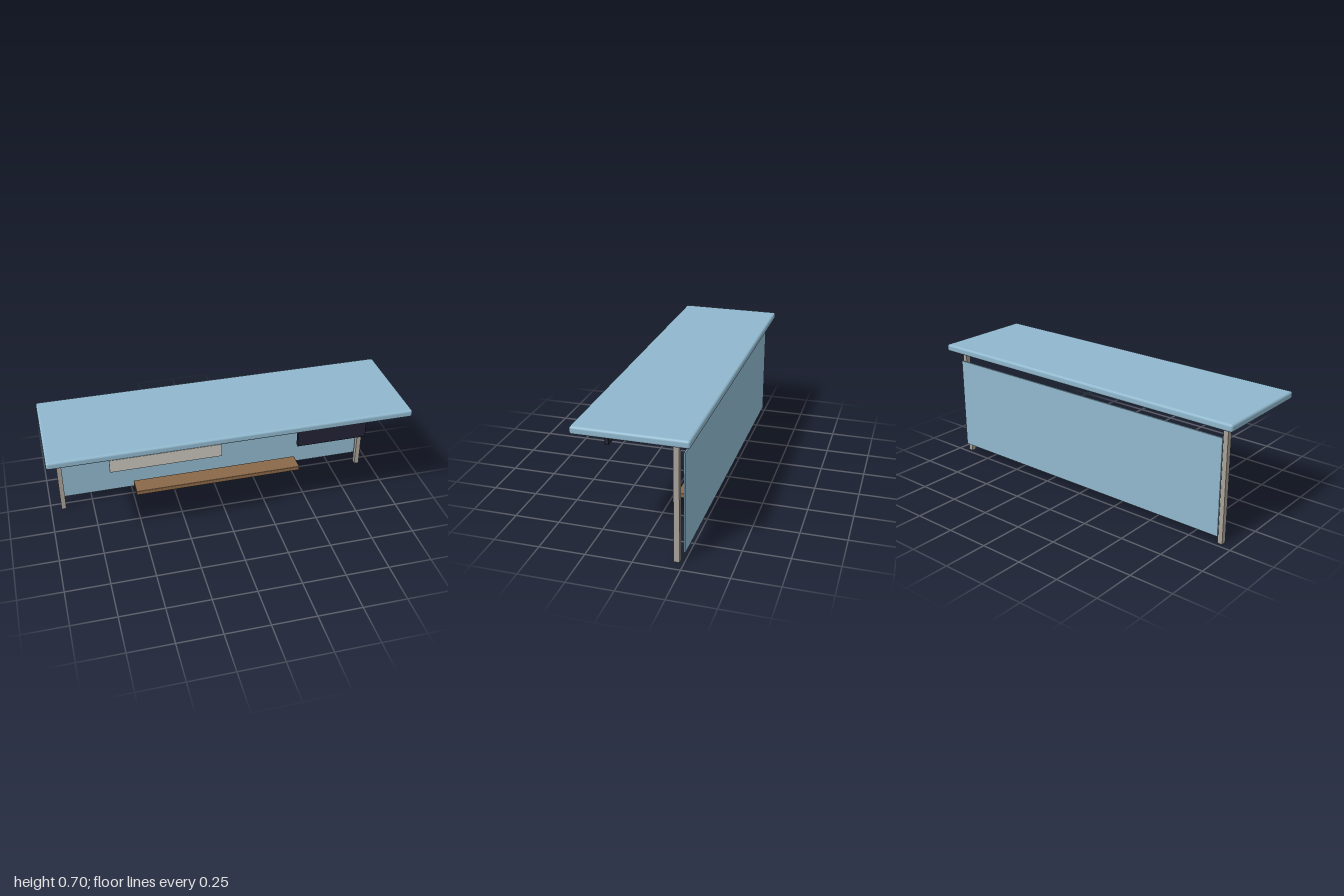
import * as THREE from 'three';
import { RoundedBoxGeometry } from 'three/addons/geometries/RoundedBoxGeometry.js';

function material(name, color) {
  const m = new THREE.MeshStandardMaterial({ color });
  m.name = name;
  return m;
}

export function createModel() {
  const group = new THREE.Group();
  group.name = 'shelter';

  const blue = material('paleBlue', 0x90b8ce);
  const metal = material('postGrey', 0xa8a299);
  const pale = material('signGrey', 0xc8c4bc);
  const dark = material('darkNavy', 0x222236);
  const wood = material('wood', 0x8b6848);

  // Box given by its extents on each axis, optionally with rounded edges
  function block(name, mat, [x0, x1], [y0, y1], [z0, z1], radius = 0) {
    const size = [x1 - x0, y1 - y0, z1 - z0];
    const geometry = radius
      ? new RoundedBoxGeometry(...size, 4, radius)
      : new THREE.BoxGeometry(...size);
    const mesh = new THREE.Mesh(geometry, mat);
    mesh.name = name;
    mesh.position.set((x0 + x1) / 2, (y0 + y1) / 2, (z0 + z1) / 2);
    group.add(mesh);
  }

  // Roof slab
  block('roof', blue, [-1, 1], [0.658, 0.7], [-0.298, 0.298], 0.013);

  // Rear posts
  for (const [name, x] of [['leftPost', 0.925], ['rightPost', -0.925]]) {
    block(name, metal, [x - 0.014, x + 0.014], [0, 0.66], [-0.227, -0.197]);
  }

  // Back panel
  block('backPanel', blue, [-0.925, 0.925], [0.053, 0.6], [-0.254, -0.245], 0.002);

  // Bench seat
  block('benchSeat', wood, [-0.5, 0.5], [0.108, 0.135], [-0.192, -0.082], 0.003);

  // Sign under the front edge of the roof, and the dark display board
  block('frontSign', pale, [-0.68, -0.08], [0.584, 0.66], [0.283, 0.293], 0.001);
  block('displayBoard', dark, [0.373, 0.772], [0.508, 0.62], [0.189, 0.212], 0.003);

  return group;
}
